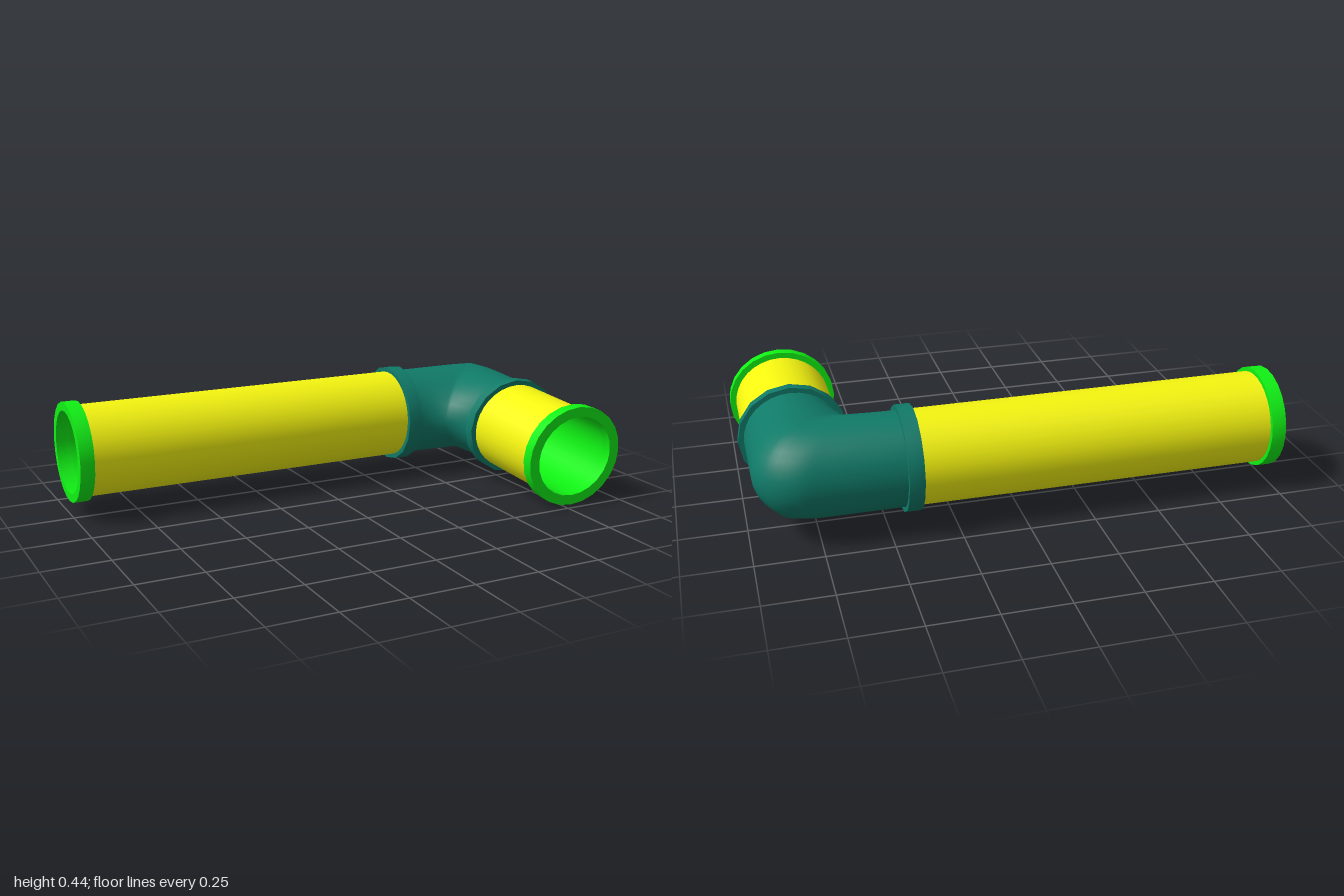
import * as THREE from 'three';
import { toCreasedNormals } from 'three/addons/utils/BufferGeometryUtils.js';

const material = (color) => new THREE.MeshStandardMaterial({ color, side: THREE.DoubleSide });
const yellow = material(0xf5f510);
const green = material(0x10f014);
const teal = material(0x107a68);

const CORNER = new THREE.Vector3(0.787, 0.248, -0.3); // where the two pipe axes meet
const R = 0.177;       // pipe radius
const BORE = 0.16;     // inner radius
const STRETCH = 1.055; // the short arm is slightly wider than tall
const TILT = 0.06;     // the short arm slopes down

// Flat-ended ring around the local y axis
function ring(name, from, to, outer, sides, mat) {
  const profile = [[BORE, from], [outer, from], [outer, to], [BORE, to], [BORE, from]];
  const lathe = new THREE.LatheGeometry(profile.map(([r, y]) => new THREE.Vector2(r, y)), sides);
  const mesh = new THREE.Mesh(toCreasedNormals(lathe, Math.PI / 4), mat);
  mesh.name = name;
  return mesh;
}

// Open tube around the local y axis
function tube(name, from, to, radius, mat) {
  const geometry = new THREE.CylinderGeometry(radius, radius, to - from, 32, 1, true);
  geometry.translate(0, (from + to) / 2, 0);
  const mesh = new THREE.Mesh(geometry, mat);
  mesh.name = name;
  return mesh;
}

// Pipe with its liner, end flange and elbow collar, running out along local y
function arm(name, collarStart, collarEnd, flangeStart, end, collarR, flangeR) {
  const group = new THREE.Group();
  group.name = name;
  group.add(
    tube('pipe', collarStart + 0.01, end - 0.01, R, yellow),
    tube('pipeLiner', collarStart + 0.01, end - 0.01, BORE, green),
    ring('endFlange', flangeStart, end, flangeR, 24, green),
    ring('elbowCollar', collarStart, collarEnd, collarR, 16, teal)
  );
  group.position.copy(CORNER);
  return group;
}

// Elbow: sections fan out from a pivot, between a small inner bend and a rounded outer corner
function elbowGeometry() {
  const px = 0.43, pz = 0.03, sides = 32;
  const rx = R * STRETCH;
  const outline = new THREE.Path();
  outline.moveTo(px, CORNER.z - R);
  outline.lineTo(CORNER.x, CORNER.z - R);
  outline.absellipse(CORNER.x, CORNER.z, rx, R, -Math.PI / 2, 0, false);
  outline.lineTo(CORNER.x + rx, pz);
  const outer = outline.getSpacedPoints(40);

  const axisZ = pz - CORNER.z, axisX = CORNER.x - px;
  const positions = [], index = [];
  outer.forEach((p, i) => {
    const dx = p.x - px, dz = pz - p.y;
    const angle = Math.atan2(dx, dz);
    const t = angle / (Math.PI / 2);
    const s = Math.sin(angle), c = Math.cos(angle);
    const far = Math.hypot(dx, dz);
    const mid = Math.min(axisZ / Math.max(c, 1e-6), axisX / Math.max(s, 1e-6));
    const near = THREE.MathUtils.lerp(axisZ - R, axisX - rx, t);
    for (let j = 0; j < sides; j++) {
      const a = (j / sides) * Math.PI * 2;
      const k = Math.cos(a);
      const d = mid + k * (k > 0 ? far - mid : mid - near);
      // Ease the section into the slope of the short arm
      const v = new THREE.Vector3(0, R * Math.sin(a), pz - d * c - CORNER.z);
      v.applyAxisAngle(new THREE.Vector3(1, 0, 0), TILT * t);
      positions.push(px + d * s, v.y + CORNER.y, v.z + CORNER.z);
      if (i < outer.length - 1) {
        const a0 = i * sides + j, a1 = i * sides + (j + 1) % sides;
        index.push(a0, a1, a0 + sides, a1, a1 + sides, a0 + sides);
      }
    }
  });
  const geometry = new THREE.BufferGeometry();
  geometry.setAttribute('position', new THREE.Float32BufferAttribute(positions, 3));
  geometry.setIndex(index);
  geometry.computeVertexNormals();
  return geometry;
}

export function createModel() {
  const model = new THREE.Group();
  model.name = 'pipeElbow';

  // Long arm runs toward -x
  const longArm = arm('longArm', 0.345, 0.402, 1.732, 1.787, 0.197, 0.193);
  longArm.rotation.z = Math.PI / 2;

  // Short arm runs toward the front, sloping down
  const shortArm = arm('shortArm', 0.32, 0.362, 0.736, 0.78, 0.198, 0.2);
  shortArm.rotation.x = Math.PI / 2 + TILT;
  shortArm.scale.x = STRETCH;

  const elbow = new THREE.Mesh(elbowGeometry(), teal);
  elbow.name = 'elbow';

  model.add(longArm, shortArm, elbow);
  return model;
}
